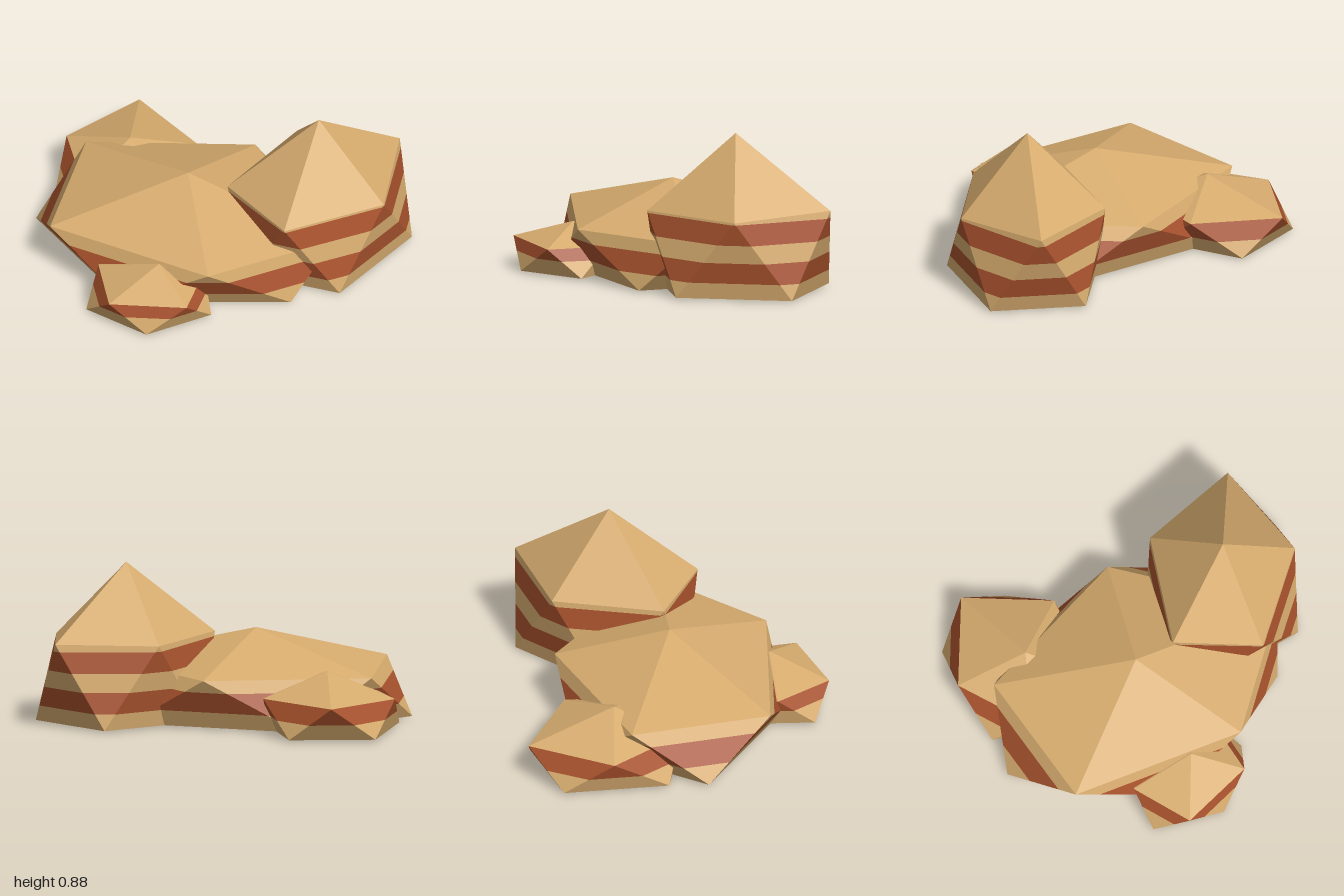
import * as THREE from 'three';

const sand = new THREE.MeshStandardMaterial({ color: 0xd6ab6e });
sand.name = 'sandstone';
const rust = new THREE.MeshStandardMaterial({ color: 0xa8522d });
rust.name = 'rustStrata';

// Heights where the strata change colour: sand, rust, sand, rust, sand
const STRATA = [-1, 0.1, 0.217, 0.32, 0.438, 2];

// Keep the part of a convex polygon above (sign 1) or below (sign -1) a height
function clip(poly, y, sign) {
  const out = [];
  poly.forEach((a, i) => {
    const b = poly[(i + 1) % poly.length];
    const da = (a.y - y) * sign, db = (b.y - y) * sign;
    if (da >= 0) out.push(a);
    if (da * db < 0) out.push(a.clone().lerp(b, da / (da - db)));
  });
  return out;
}

function facetMesh(name, polys, material) {
  const points = [];
  for (const p of polys) {
    for (let i = 1; i < p.length - 1; i++) points.push(p[0], p[i], p[i + 1]);
  }
  const geometry = new THREE.BufferGeometry().setFromPoints(points);
  geometry.computeVertexNormals();
  const mesh = new THREE.Mesh(geometry, material);
  mesh.name = name;
  return mesh;
}

// A rock is a peak, a five-point shoulder ring [x, z, y] and a five-point foot ring [x, z]
function rock({ name, peak, shoulder, foot }) {
  const top = new THREE.Vector3(...peak);
  const base = new THREE.Vector3(peak[0], 0, peak[2]);
  const upper = shoulder.map(([x, z, y]) => new THREE.Vector3(x, y, z));
  const lower = foot.map(([x, z]) => new THREE.Vector3(x, 0.01, z));
  const sandFaces = [], rustFaces = [];

  upper.forEach((u, i) => {
    const j = (i + 1) % upper.length;
    sandFaces.push([top, u, upper[j]], [base, lower[j], lower[i]]);
    // Slice the side facets into strata
    for (const side of [[u, lower[i], upper[j]], [lower[i], lower[j], upper[j]]]) {
      for (let k = 0; k < STRATA.length - 1; k++) {
        const band = clip(clip(side, STRATA[k], 1), STRATA[k + 1], -1);
        if (band.length > 2) (k % 2 ? rustFaces : sandFaces).push(band);
      }
    }
  });

  const group = new THREE.Group();
  group.name = name;
  group.add(facetMesh(name + 'Sandstone', sandFaces, sand));
  group.add(facetMesh(name + 'Strata', rustFaces, rust));
  return group;
}

const ROCKS = [
  {
    name: 'mainRock',
    peak: [-0.05, 0.495, 0],
    shoulder: [[-0.82, -0.18, 0.285], [-0.595, 0.58, 0.287], [0.39, 0.52, 0.287], [0.82, -0.12, 0.287], [0, -0.64, 0.287]],
    foot: [[-0.885, 0.25], [-0.07, 0.65], [0.72, 0.175], [0.47, -0.58], [-0.52, -0.5]],
  },
  {
    name: 'tallRock',
    peak: [0.58, 0.878, -0.36],
    shoulder: [[1, -0.36, 0.45], [0.785, -0.89, 0.48], [0.255, -0.665, 0.47], [0.18, -0.04, 0.465], [0.65, 0.13, 0.45]],
    foot: [[0.99, -0.68], [0.495, -0.875], [0.13, -0.38], [0.39, 0.08], [0.91, -0.035]],
  },
  {
    name: 'rearRock',
    peak: [-0.6, 0.33, -0.29],
    shoulder: [[-1, -0.27, 0.195], [-0.68, 0.08, 0.2], [-0.28, -0.1, 0.2], [-0.335, -0.575, 0.2], [-0.82, -0.755, 0.2]],
    foot: [[-0.9, 0.03], [-0.45, 0.08], [-0.27, -0.35], [-0.565, -0.755], [-1, -0.55]],
  },
  {
    name: 'smallFrontRock',
    peak: [0.09, 0.275, 0.55],
    shoulder: [[-0.265, 0.61, 0.17], [-0.03, 0.885, 0.167], [0.355, 0.69, 0.165], [0.27, 0.36, 0.167], [-0.1, 0.32, 0.167]],
    foot: [[-0.22, 0.815], [0.185, 0.84], [0.4, 0.5], [0.1, 0.28], [-0.25, 0.42]],
  },
];

export function createModel() {
  const model = new THREE.Group();
  model.name = 'layeredRocks';
  ROCKS.forEach((spec) => model.add(rock(spec)));
  return model;
}
